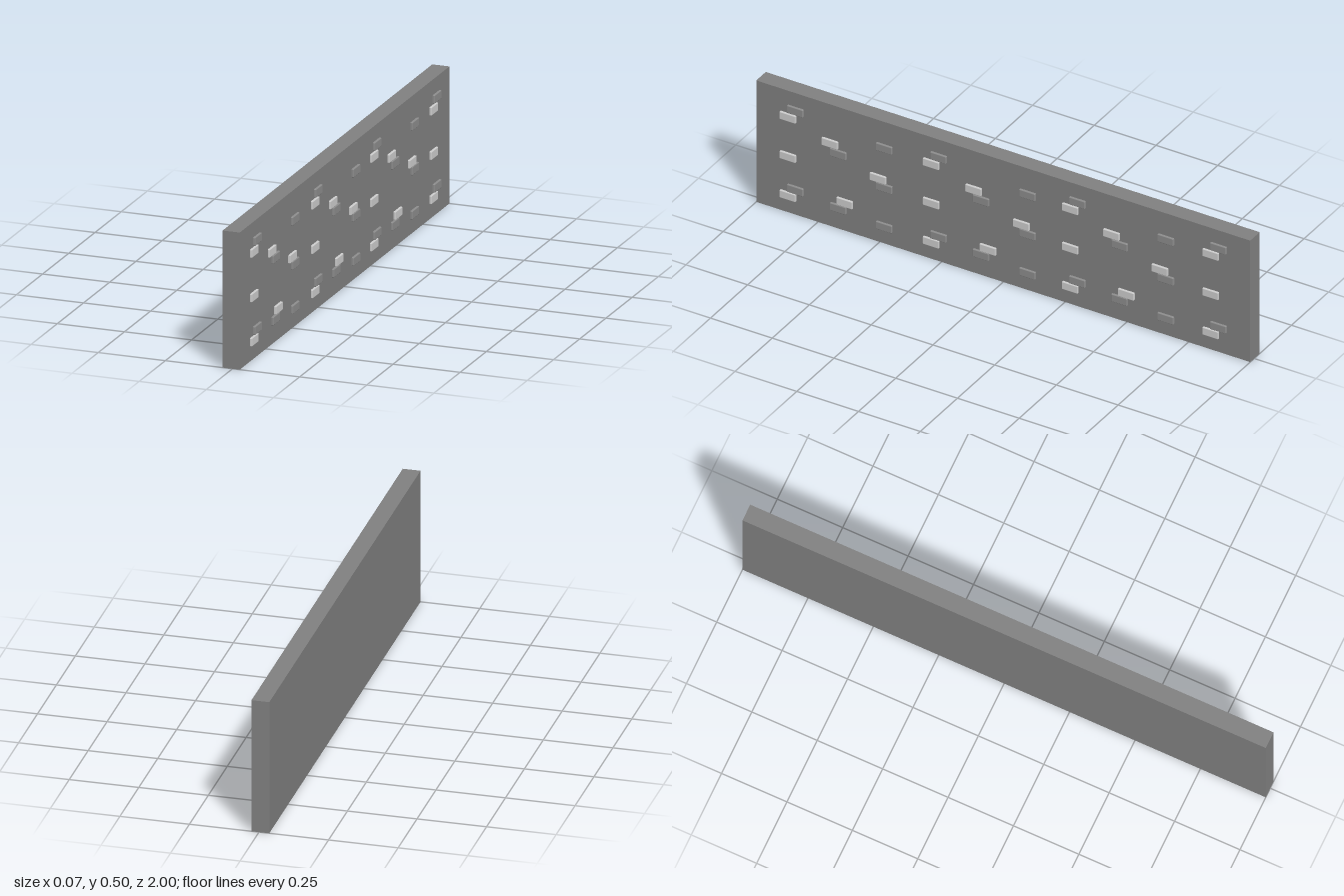
import * as THREE from 'three';
import { RoundedBoxGeometry } from 'three/addons/geometries/RoundedBoxGeometry.js';

const WALL_LEFT = 0.027, WALL_RIGHT = -0.037, BRICK_FACE = 0.035;

// Repeating columns of exposed bricks, given as z positions
const outer = [0.87, 0.29, -0.273, -0.842];
const single = [0.48, -0.10, -0.66];
const stepped = [0.84, 0.26, -0.302, -0.873];
const upperPair = [0.70, 0.118, -0.44];
const lowerPair = [0.666, 0.088, -0.473];

// Courses: height of the brick centre, z positions, pale or dark
const courses = [
  [0.428, stepped, false],
  [0.393, outer, true],
  [0.393, single, false],
  [0.342, upperPair, true],
  [0.309, lowerPair, false],
  [0.262, [0.505, -0.075, -0.636], true],
  [0.231, outer, true],
  [0.231, single, false],
  [0.116, [0.64, 0.06, -0.50], true],
  [0.103, stepped, false],
  [0.085, lowerPair, false],
  [0.07, outer, true],
  [0.07, single, false],
];

export function createModel() {
  const model = new THREE.Group();
  model.name = 'brickWall';

  const wallMaterial = new THREE.MeshStandardMaterial({ color: 0x808080 });
  const paleMaterial = new THREE.MeshStandardMaterial({ color: 0xcccccc });
  const darkMaterial = new THREE.MeshStandardMaterial({ color: 0x8c8c8c });

  // Plain slab
  const slab = new THREE.Mesh(new THREE.BoxGeometry(WALL_LEFT - WALL_RIGHT, 0.5, 2), wallMaterial);
  slab.name = 'wallSlab';
  slab.position.set((WALL_LEFT + WALL_RIGHT) / 2, 0.25, 0);
  model.add(slab);

  // Softened bricks, partly sunk into the slab
  const depth = 0.018;
  const brickGeometry = new RoundedBoxGeometry(depth, 0.031, 0.065, 2, 0.003);
  const bricks = new THREE.Group();
  bricks.name = 'exposedBricks';
  for (const [y, columns, pale] of courses) {
    for (const z of columns) {
      const brick = new THREE.Mesh(brickGeometry, pale ? paleMaterial : darkMaterial);
      brick.name = pale ? 'paleBrick' : 'darkBrick';
      brick.position.set(BRICK_FACE - depth / 2, y, z);
      bricks.add(brick);
    }
  }
  model.add(bricks);
  return model;
}
